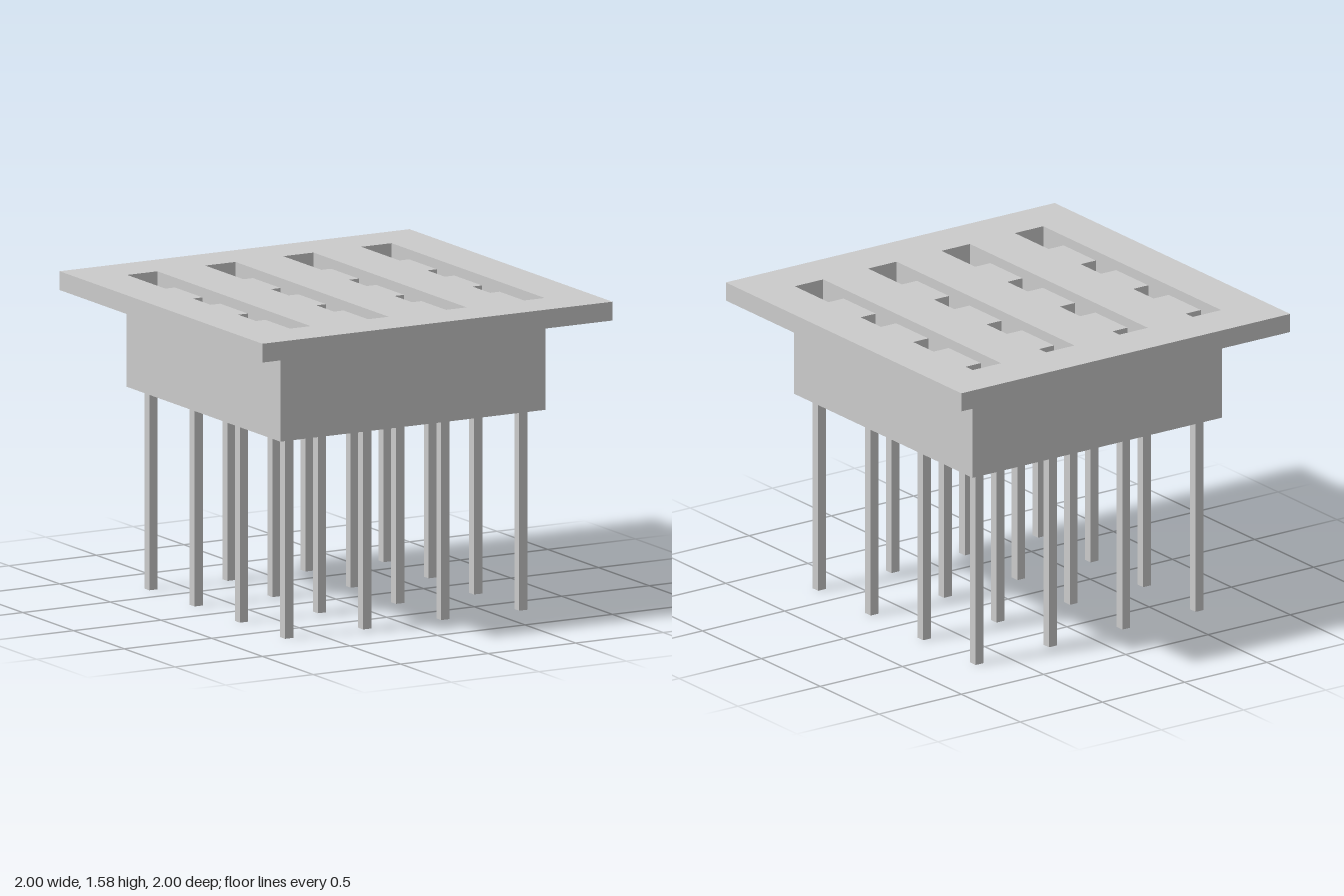
import * as THREE from 'three';

const PITCH = [-0.669, -0.223, 0.223, 0.669];
const HOLE = 0.173;
const BODY = 1.515;
const SLOT = 2 * 0.669 + HOLE;
const Y = { body: 1.015, floor: 1.07, skirt: 1.485, bar: 1.53, top: 1.58 };

// Rectangle path centred on (x, y)
function rect(path, x, y, w, h) {
  path.moveTo(x - w / 2, y - h / 2);
  path.lineTo(x + w / 2, y - h / 2);
  path.lineTo(x + w / 2, y + h / 2);
  path.lineTo(x - w / 2, y + h / 2);
  path.closePath();
  return path;
}

// Flat horizontal sheet with rectangular openings [x, z, width, depth]
function sheet(w, d, holes = []) {
  const shape = rect(new THREE.Shape(), 0, 0, w, d);
  for (const [x, z, hw, hd] of holes) shape.holes.push(rect(new THREE.Path(), x, -z, hw, hd));
  return new THREE.ShapeGeometry(shape).rotateX(-Math.PI / 2);
}

// Four upright walls, open above and below, from y0 to y1
function walls(w, d, y0, y1) {
  return new THREE.CylinderGeometry(Math.SQRT1_2, Math.SQRT1_2, 1, 4, 1, true)
    .rotateY(Math.PI / 4)
    .scale(w, y1 - y0, d)
    .translate(0, (y0 + y1) / 2, 0);
}

export function createModel() {
  const model = new THREE.Group();
  model.name = 'pinSocket';
  const material = new THREE.MeshStandardMaterial({
    color: 0xcccccc, flatShading: true, side: THREE.DoubleSide,
  });

  function add(name, geometry, x = 0, y = 0, z = 0) {
    const mesh = new THREE.Mesh(geometry, material);
    mesh.name = name;
    mesh.position.set(x, y, z);
    model.add(mesh);
  }

  // Top plate: slotted sheet with a skirt, hollow underneath
  add('topPlate', sheet(2, 2, PITCH.map((x) => [x, 0, HOLE, SLOT])), 0, Y.top);
  add('plateSkirt', walls(2, 2, Y.skirt, Y.top));

  // Body reaching up to the underside of the plate
  add('bodyWalls', walls(BODY, BODY, Y.body, Y.top));
  add('bodyBottom', sheet(BODY, BODY), 0, Y.body);

  const slotGeo = walls(HOLE, SLOT, Y.bar, Y.top);
  const barGeo = sheet(HOLE, PITCH[1] - PITCH[0] - HOLE);
  const wellGeo = walls(HOLE, HOLE, Y.floor, Y.bar);
  const floorGeo = sheet(HOLE, HOLE);
  const legGeo = new THREE.BoxGeometry(0.048, Y.body, 0.048);
  const tipHeight = 0.3;
  const tipGeo = new THREE.ConeGeometry(0.062 * Math.SQRT2, tipHeight, 4).rotateY(Math.PI / 4);

  for (const x of PITCH) {
    // Slot with bars between the wells
    add('slotWalls', slotGeo, x);
    for (let i = 0; i < 3; i++) add('slotBar', barGeo, x, Y.bar, (PITCH[i] + PITCH[i + 1]) / 2);

    // Wells with a pointed contact inside and a square pin below
    for (const z of PITCH) {
      add('wellWalls', wellGeo, x, 0, z);
      add('wellFloor', floorGeo, x, Y.floor, z);
      add('pinTip', tipGeo, x, Y.floor + tipHeight / 2, z);
      add('pinLeg', legGeo, x, Y.body / 2, z);
    }
  }
  return model;
}
